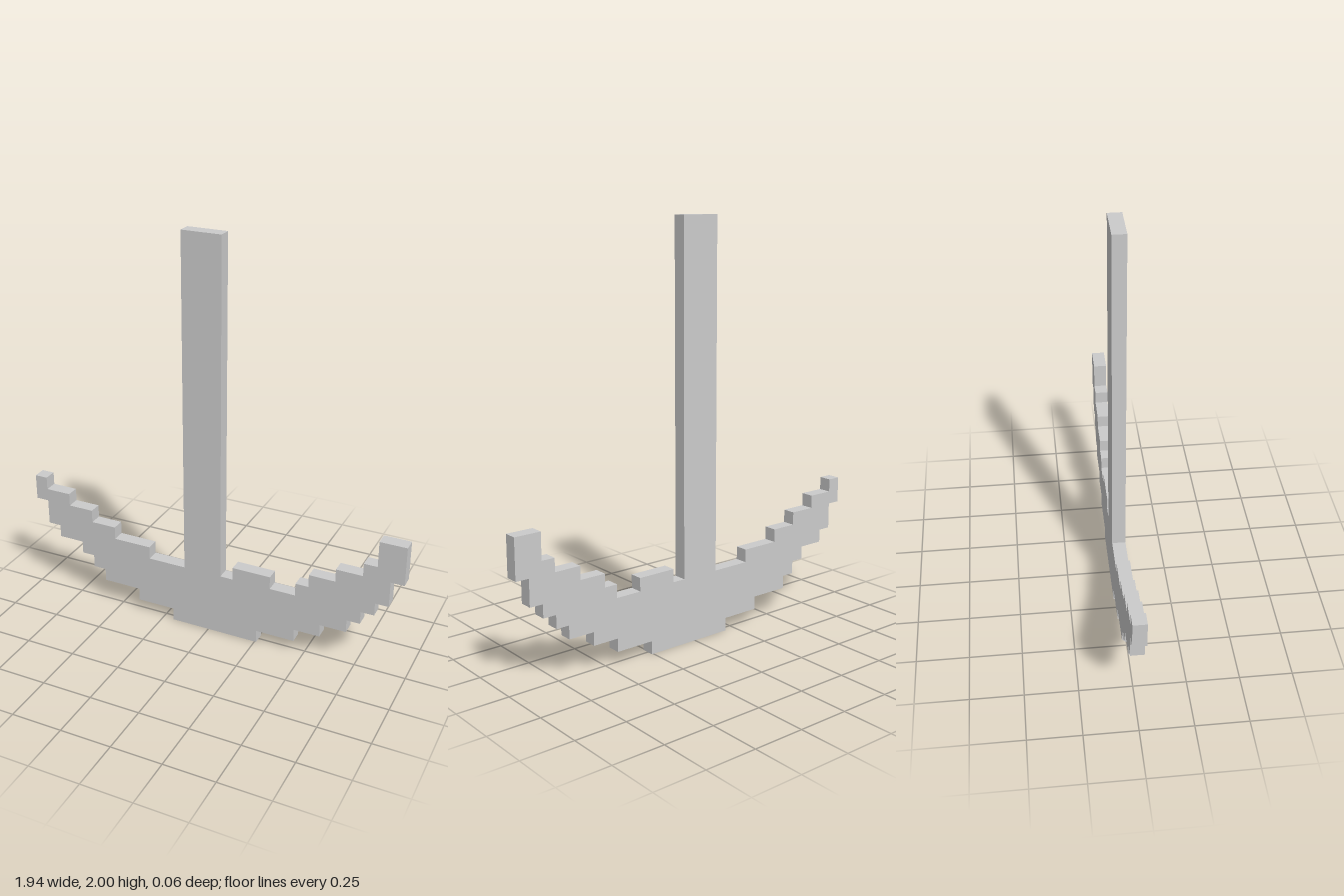
import * as THREE from 'three';

// One grid cell: the model is 30 cells wide, 31 high and 1 deep
const CELL = 2 / 31;

// Steps from left to right across the width: [start column, height in cells]
const TOP = [
  [-15, 10], [-14, 9], [-12, 8], [-10, 7], [-8, 6], [-5, 5], [2, 6],
  [5, 5], [7, 6], [8, 7], [10, 8], [12, 9], [13, 11],
];
const BOTTOM = [
  [-15, 8], [-14, 6], [-13, 5], [-11, 4], [-10, 3], [-9, 2], [-6, 1],
  [-3, 0], [4, 1], [7, 2], [9, 3], [11, 4], [12, 5], [13, 6], [14, 8],
];
const END = 15;

// Turns a list of steps into the corner points of a staircase
function staircase(steps) {
  return steps.flatMap(([x, y], i) => {
    const next = i + 1 < steps.length ? steps[i + 1][0] : END;
    return [
      new THREE.Vector2(x * CELL, y * CELL),
      new THREE.Vector2(next * CELL, y * CELL),
    ];
  });
}

export function createModel() {
  const group = new THREE.Group();
  group.name = 'steppedAnchor';
  const material = new THREE.MeshStandardMaterial({ color: 0xcccccc, flatShading: true });

  // Curved arms: stepped crescent cut from a one-cell slab
  const outline = new THREE.Shape([...staircase(BOTTOM), ...staircase(TOP).reverse()]);
  const armsGeometry = new THREE.ExtrudeGeometry(outline, { depth: CELL, bevelEnabled: false });
  armsGeometry.translate(0, 0, -CELL / 2);
  const arms = new THREE.Mesh(armsGeometry, material);
  arms.name = 'curvedArms';
  group.add(arms);

  // Shaft: three cells wide, standing on the arms slightly off centre
  const shaft = new THREE.Mesh(new THREE.BoxGeometry(3 * CELL, 26 * CELL, CELL), material);
  shaft.position.set(-0.5 * CELL, 18 * CELL, 0);
  shaft.name = 'shaft';
  group.add(shaft);

  return group;
}
